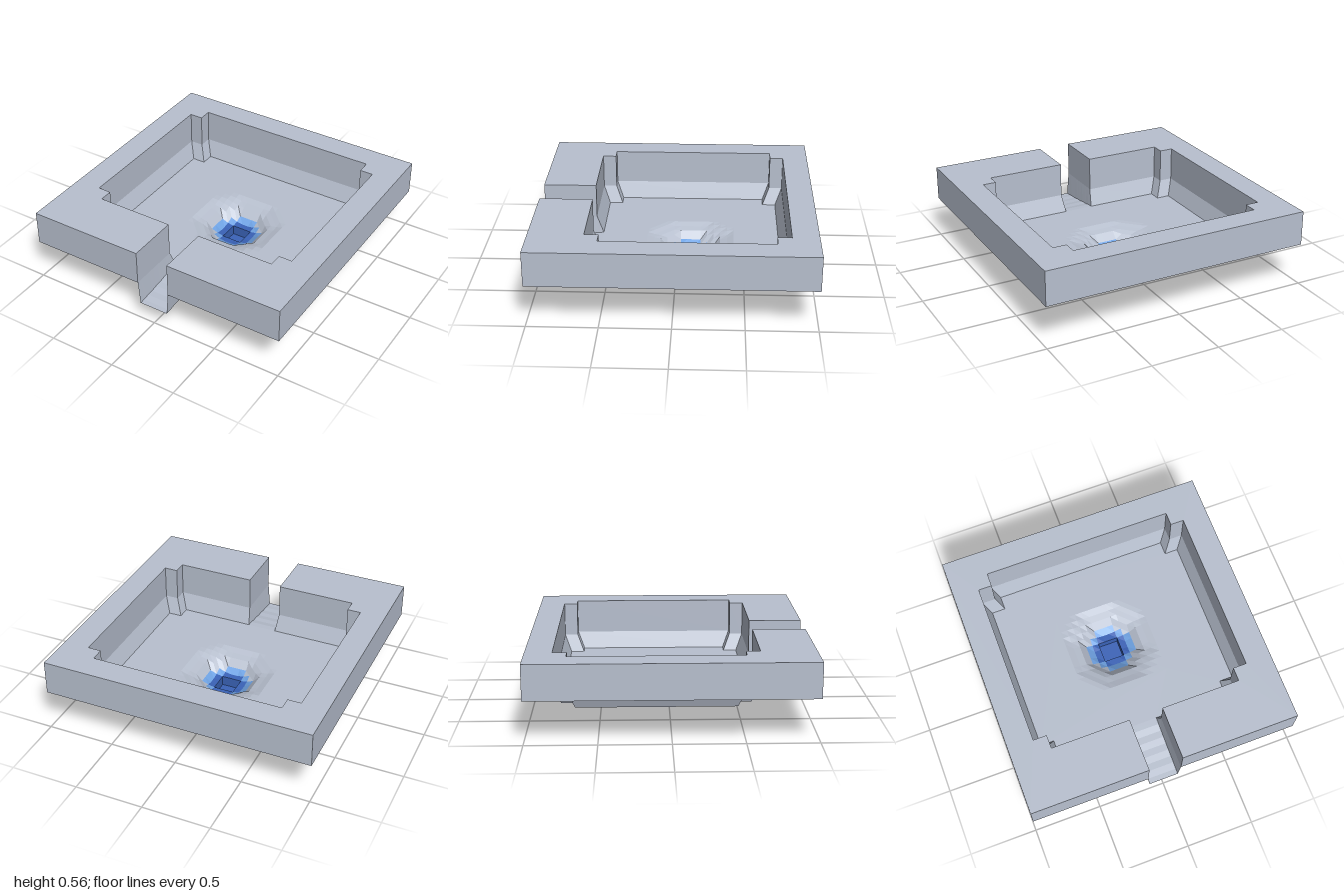
import * as THREE from 'three';

const stone = new THREE.MeshStandardMaterial({ color: 0xb8c0cf, side: THREE.DoubleSide });
stone.name = 'pale stone';
const lightBlue = new THREE.MeshStandardMaterial({ color: 0x6fa3e4, side: THREE.DoubleSide });
lightBlue.name = 'light blue';
const deepBlue = new THREE.MeshStandardMaterial({ color: 0x3a63b8, side: THREE.DoubleSide });
deepBlue.name = 'deep blue';

const TOP = 0.565, MID = 0.31, FLOOR = 0.185, PIT_Z = -0.1, CELL = 0.05;

// flat-shaded skin over rows of [x, y, z] points, keeping only the wanted cells
function loft(rows, keep = () => true) {
  const pos = [];
  for (let i = 0; i + 1 < rows.length; i++) {
    for (let j = 0; j + 1 < rows[i].length; j++) {
      if (!keep(i, j)) continue;
      const a = rows[i][j], b = rows[i][j + 1], c = rows[i + 1][j + 1], d = rows[i + 1][j];
      pos.push(...a, ...d, ...c, ...a, ...c, ...b);
    }
  }
  const g = new THREE.BufferGeometry();
  g.setAttribute('position', new THREE.Float32BufferAttribute(pos, 3));
  g.computeVertexNormals();
  return g;
}

// horizontal sheet from [x, z] outlines
function sheet(outline, y, hole) {
  const toV = ([x, z]) => new THREE.Vector2(x, -z);
  const s = new THREE.Shape(outline.map(toV));
  if (hole) s.holes.push(new THREE.Path(hole.map(toV)));
  return new THREE.ShapeGeometry(s).rotateX(-Math.PI / 2).translate(0, y, 0);
}

const mirrored = half => [...half, ...half.map(([x, z]) => [-x, z]).reverse()];
const atY = (path, y) => path.map(([x, z]) => [x, y, z]);

// depth profile of the bowl by distance from its centre
const profile = [[0.075, 0.075], [0.125, 0.075], [0.175, 0.105], [0.225, 0.155], [0.275, 0.168], [0.325, FLOOR]];
const reach = (x, z) => Math.max(Math.abs(x), Math.abs(z), 0.7 * (Math.abs(x) + Math.abs(z)));
function bowlHeight(d) {
  if (d <= profile[0][0]) return profile[0][1];
  for (let i = 1; i < profile.length; i++) {
    const [d0, y0] = profile[i - 1], [d1, y1] = profile[i];
    if (d <= d1) return y0 + (y1 - y0) * (d - d0) / (d1 - d0);
  }
  return FLOOR;
}

export function createModel() {
  const group = new THREE.Group();
  const add = (name, geometry, material = stone) => {
    const m = new THREE.Mesh(geometry, material);
    m.name = name;
    group.add(m);
  };

  // outlines, running from the front gap around the back
  const outer = mirrored([[0.125, 1], [1, 1], [1, -1]]);
  const opening = mirrored([[0.125, 0.61], [0.71, 0.61], [0.71, 0.51], [0.81, 0.51],
    [0.81, -0.71], [0.71, -0.71], [0.71, -0.81]]);
  const basin = mirrored([[0.11, 0.56], [0.66, 0.56], [0.66, 0.46], [0.76, 0.46],
    [0.76, -0.66], [0.66, -0.66], [0.66, -0.76]]);
  const inward = [...opening].reverse(), basinInward = [...basin].reverse();

  // rim and walls
  add('rimTop', sheet([...outer, ...inward], TOP));
  add('outerWall', loft([atY(outer, TOP), atY(outer, MID)]));
  add('innerWall', loft([atY(inward, TOP), atY(inward, MID)]));
  add('slopedSkirt', loft([atY(inward, MID), atY(basinInward, FLOOR)]));

  // basin floor with a square hole for the bowl
  const h = 0.325;
  add('basinFloor', sheet(basin, FLOOR,
    [[-h, PIT_Z - h], [h, PIT_Z - h], [h, PIT_Z + h], [-h, PIT_Z + h]]));

  // stepped bowl on a square grid
  const ticks = Array.from({ length: 14 }, (_, i) => -h + i * CELL);
  const bowl = ticks.map(z => ticks.map(x => [x, bowlHeight(reach(x, z)), z + PIT_Z]));
  const zone = (i, j) => {
    const x = ticks[j] + CELL / 2, z = ticks[i] + CELL / 2;
    if (Math.max(Math.abs(x), Math.abs(z)) < 0.07) return 'well';
    const d = reach(x, z);
    return d < 0.12 ? 'deep' : d < 0.16 ? 'light' : 'stone';
  };
  add('bowlSteps', loft(bowl, (i, j) => zone(i, j) === 'stone'));
  add('poolEdge', loft(bowl, (i, j) => zone(i, j) === 'light'), lightBlue);
  add('poolBed', loft(bowl, (i, j) => zone(i, j) === 'deep'), deepBlue);

  // square well in the middle of the bowl
  const w = 0.075;
  const square = [[-w, PIT_Z - w], [w, PIT_Z - w], [w, PIT_Z + w], [-w, PIT_Z + w], [-w, PIT_Z - w]];
  add('wellWalls', loft([atY(square, w), atY(square, 0)]), deepBlue);
  add('wellBottom', sheet(square.slice(0, 4), 0), deepBlue);

  // channel falling in shallow steps to the front edge
  const steps = [[0.56, FLOOR], [0.61, 0.182], [0.66, 0.171], [0.71, 0.168], [0.76, 0.158],
    [0.81, 0.155], [0.86, 0.146], [0.91, 0.144], [0.96, 0.136], [1, 0.134]];
  add('channelFloor', loft(steps.map(([z, y]) => [[-0.11, y, z], [0.11, y, z]])));
  for (const side of [1, -1]) {
    const upper = y => steps.map(([z]) => [side * 0.125, y, Math.max(z, 0.61)]);
    const rows = [upper(TOP), upper(MID), steps.map(([z, y]) => [side * 0.11, y, z])];
    if (side < 0) rows.forEach(r => r.reverse());
    add(side > 0 ? 'channelWallLeft' : 'channelWallRight', loft(rows));
  }
  return group;
}
